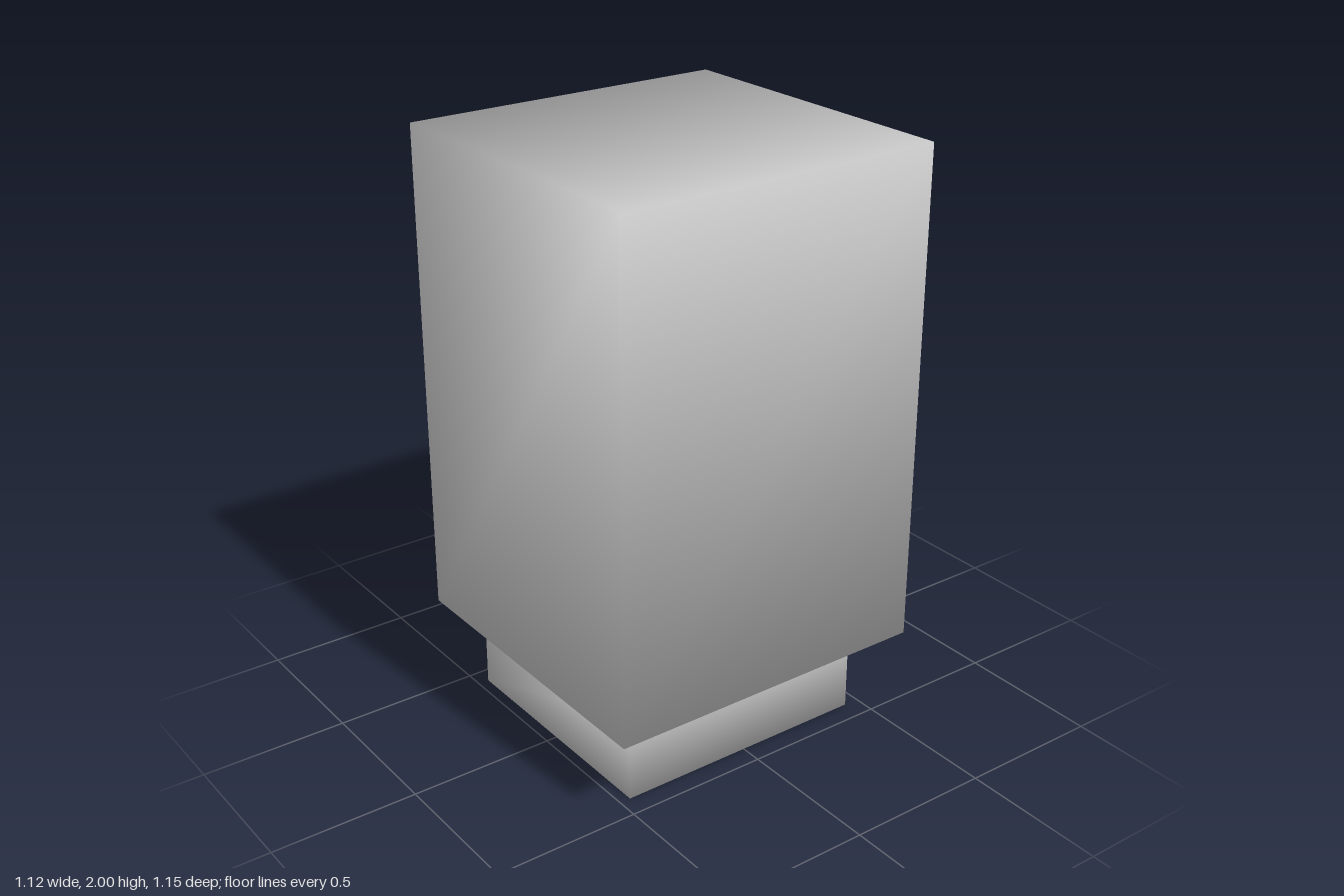
import * as THREE from 'three';

const material = new THREE.MeshStandardMaterial({ color: 0xcccccc });

// Box between two corners, with normals blended smoothly across its edges
function smoothBox(name, min, max) {
  const size = max.map((v, i) => v - min[i]);
  const geometry = new THREE.BoxGeometry(...size);
  const { position, normal } = geometry.attributes;
  const n = new THREE.Vector3();
  for (let i = 0; i < position.count; i++) {
    n.set(Math.sign(position.getX(i)), Math.sign(position.getY(i)), Math.sign(position.getZ(i))).normalize();
    normal.setXYZ(i, n.x, n.y, n.z);
  }
  const mesh = new THREE.Mesh(geometry, material);
  mesh.name = name;
  mesh.position.set(...min.map((v, i) => (v + max[i]) / 2));
  return mesh;
}

export function createModel() {
  const group = new THREE.Group();
  group.name = 'blockOnPlinth';
  // Tall main block
  group.add(smoothBox('body', [-0.558, 0.307, -0.575], [0.558, 2, 0.575]));
  // Narrower foot, set slightly off centre
  group.add(smoothBox('base', [-0.437, 0, -0.447], [0.426, 0.307, 0.462]));
  return group;
}
